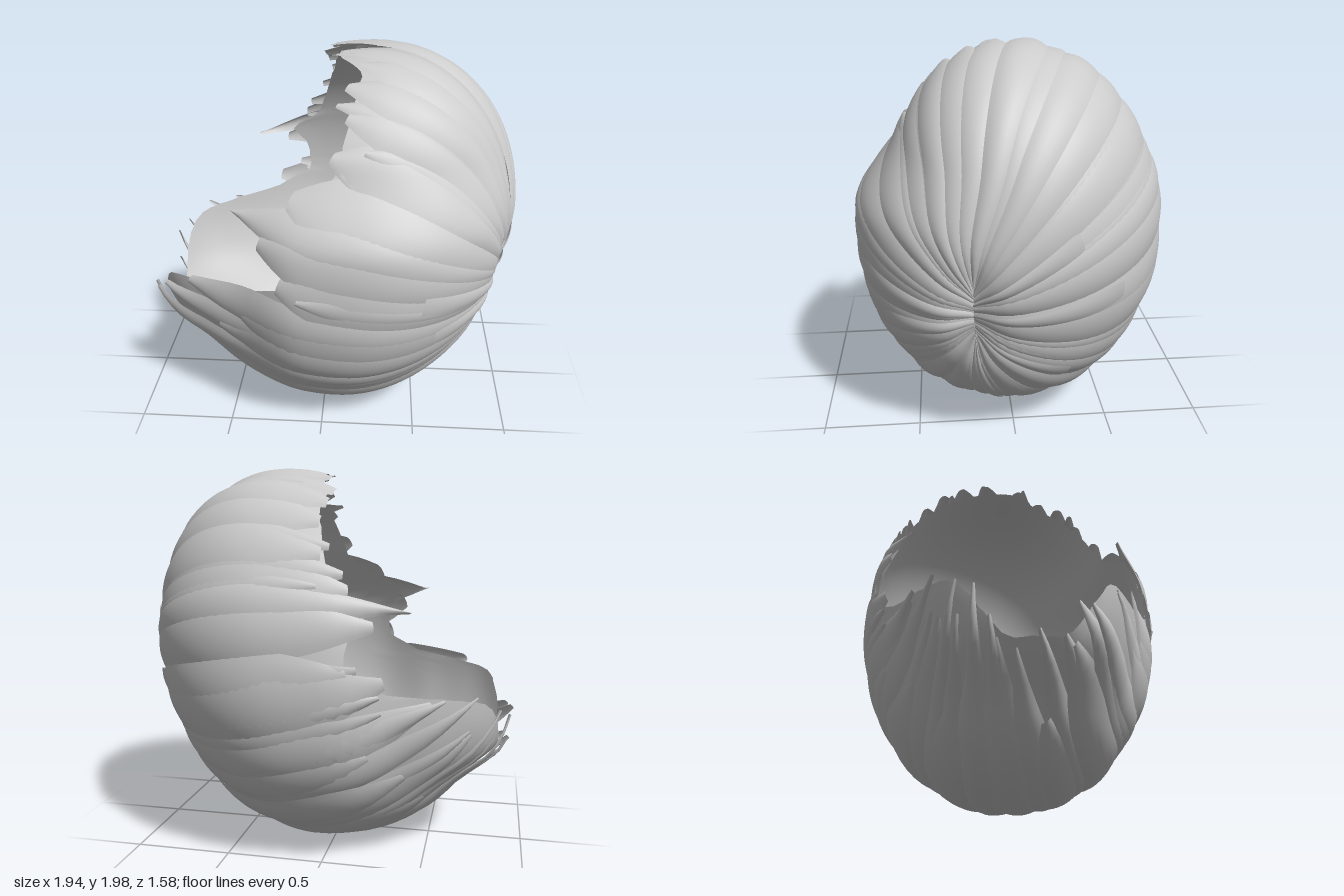
import * as THREE from 'three';

// Swept hair cap: strands fan out from a whorl at the back (+x) to a ragged face opening (-x).
const V3 = THREE.Vector3;
const whorl = new V3(0.945, -0.15, 0.29).normalize();
const up = new V3(0, 1, 0).addScaledVector(whorl, -whorl.y).normalize();
const side = new V3().crossVectors(up, whorl);
const smooth = THREE.MathUtils.smoothstep;

let seed = 7;
const rand = () => (seed = (seed * 16807) % 2147483647) / 2147483647;
const rnd = (a, b) => a + (b - a) * rand();

// Point on the skewed ellipsoid at angle phi around the whorl and theta away from it
function surface(phi, theta, r = 1) {
  const seam = 0.14 * Math.sin(phi) * Math.max(0, 1 - theta / 2);
  const d = whorl.clone().multiplyScalar(Math.cos(theta))
    .addScaledVector(side, Math.sin(theta) * Math.cos(phi))
    .addScaledVector(up, Math.sin(theta) * Math.sin(phi) + seam)
    .normalize();
  d.multiplyScalar(r * (1 - 0.05 * Math.exp(-theta * theta / 0.02)));
  let x = 0.17 + 0.11 * d.y + d.x * (d.x > 0 ? 0.82 : 1.06);
  // Front sweeps outward at brow height and pulls in below it
  if (x < -0.4) x += (0.31 * smooth(d.y, -0.68, -0.4) - 0.08) * (x + 0.4);
  const slim = d.z > 0 ? 1 - 0.14 * smooth(d.y, 0.2, 0.55) : 1; // flatter upper left side
  const pinch = 1 - 0.08 * smooth(-x, 0.1, 0.45) * (1 - smooth(-x, 0.6, 0.9)); // cheeks
  return new V3(x, 1 + d.y, d.z * 0.8 * slim * pinch);
}

// Front limit of the hair as [height, x]
const rim = [[0.89, -0.86], [0.94, -0.4], [1.02, -0.2], [1.2, -0.22], [1.33, -0.32],
  [1.42, -0.14], [1.6, -0.08], [1.9, 0], [2.1, 0.08]];
function isOpen({ x, y, z }) {
  const low = 0.58 + 0.31 * smooth(Math.abs(z), 0.1, 0.4);
  if (y < low) return false;
  if (y < rim[0][0]) return x < -0.6;
  const i = Math.max(1, rim.findIndex((p) => p[0] >= y));
  const [y0, x0] = rim[i - 1], [y1, x1] = rim[i];
  const recess = 0.14 * smooth(z, 0, 0.25) * smooth(y, 1.4, 1.55);
  return x < x0 + (x1 - x0) * (y - y0) / (y1 - y0) + recess;
}
function reach(phi) {
  let t = 0.3;
  while (t < 2.95 && !isOpen(surface(phi, t))) t += 0.01;
  return t;
}

// Grid of points from fn(u, v) turned into a smooth open surface
function sheet(nu, nv, fn) {
  const pos = [], idx = [];
  for (let i = 0; i <= nu; i++)
    for (let j = 0; j <= nv; j++) pos.push(...fn(i / nu, j / nv).toArray());
  for (let i = 0; i < nu; i++)
    for (let j = 0; j < nv; j++) {
      const a = i * (nv + 1) + j, b = a + nv + 1;
      idx.push(a, b, a + 1, b, b + 1, a + 1);
    }
  const g = new THREE.BufferGeometry();
  g.setAttribute('position', new THREE.Float32BufferAttribute(pos, 3));
  g.setIndex(idx);
  g.computeVertexNormals();
  return g;
}

// One lock: domed across, with one edge tucked under its neighbour, narrowing to its tip
function lock({ phi, width, length, r, bulge, taper = 0.84, tip = 0.25, bend = 0, flare = 0.1 }) {
  return sheet(32, 8, (t, v) => {
    const s = v * 2 - 1;
    const k = t < taper ? 1 : 1 - (1 - tip) * Math.pow((t - taper) / (1 - taper), 1.5);
    const a = phi + s * width * k + bend * t * t;
    const dome = bulge * (1 - s * s) * Math.sqrt(Math.sin(Math.PI * Math.min(0.95, t * 0.9 + 0.03)));
    return surface(a, t * length, r + dome + 0.006 * s + flare * Math.max(0, t - 0.85));
  });
}

export function createModel() {
  const model = new THREE.Group();
  const mat = new THREE.MeshStandardMaterial({ color: 0xcccccc, side: THREE.DoubleSide });
  const add = (name, geo, parent) => {
    const m = new THREE.Mesh(geo, mat);
    m.name = name;
    parent.add(m);
  };
  const group = (name) => {
    const g = new THREE.Group();
    g.name = name;
    model.add(g);
    return g;
  };

  // Smooth inner shell up to the face opening
  const edges = Array.from({ length: 121 }, (_, i) => reach((i % 120) / 120 * Math.PI * 2));
  add('innerShell', sheet(120, 40, (u, v) =>
    surface(u * Math.PI * 2, v * edges[Math.round(u * 120)] * 0.98, 0.955)), model);

  // Broad main locks all around the whorl; those over the cheeks stop short of the rim
  const main = group('mainLocks'), n = 30;
  for (let i = 0; i < n; i++) {
    const phi = (i + rnd(-0.3, 0.3)) / n * Math.PI * 2;
    const end = reach(phi);
    const cheek = surface(phi, end).x < -0.6;
    add('mainLock', lock({
      phi, width: Math.PI / n * rnd(1.25, 1.7), length: end * (cheek ? rnd(0.78, 0.98) : rnd(0.97, 1.02)),
      r: rnd(0.964, 0.978), bulge: rnd(0.016, 0.03), flare: cheek ? 0 : 0.08,
    }), main);
  }

  // Narrower locks that break up the rim into layered tips
  const fringe = group('fringeLocks'), m = 34;
  for (let i = 0; i < m; i++) {
    const phi = (i + rnd(-0.4, 0.4)) / m * Math.PI * 2;
    add('fringeLock', lock({
      phi, width: Math.PI / m * rnd(0.8, 1.4), length: reach(phi) * rnd(0.9, 1.02),
      r: rnd(0.964, 0.972), bulge: rnd(0.012, 0.024), taper: 0.82, tip: 0.2, bend: rnd(-0.04, 0.04),
    }), fringe);
  }

  // Short blunt locks lying over the whorl: [angle in degrees, length]
  const short = group('shortLocks');
  for (const [deg, length] of [[28, 0.72], [0, 0.95], [-37, 0.72], [176, 0.85], [194, 0.68], [-85, 0.75]])
    add('shortLock', lock({
      phi: deg * Math.PI / 180, width: 0.085, length, r: 0.99, bulge: 0.012, taper: 0.9, tip: 0.85, flare: 0,
    }), short);

  // Pointed side locks at the temples
  const temples = group('templeLocks');
  for (const z of [1, -1]) {
    let best = 0, err = 9;
    for (let a = 0; a < 6.28; a += 0.02) {
      const p = surface(a, reach(a));
      const e = Math.abs(p.y - 1.33) + (p.z * z > 0 ? 0 : 5);
      if (e < err) { err = e; best = a; }
    }
    add('templeLock', lock({
      phi: best, width: 0.13, length: reach(best) + 0.12, r: 0.97, bulge: 0.03, taper: 0.75, tip: 0.02,
    }), temples);
  }
  return model;
}
